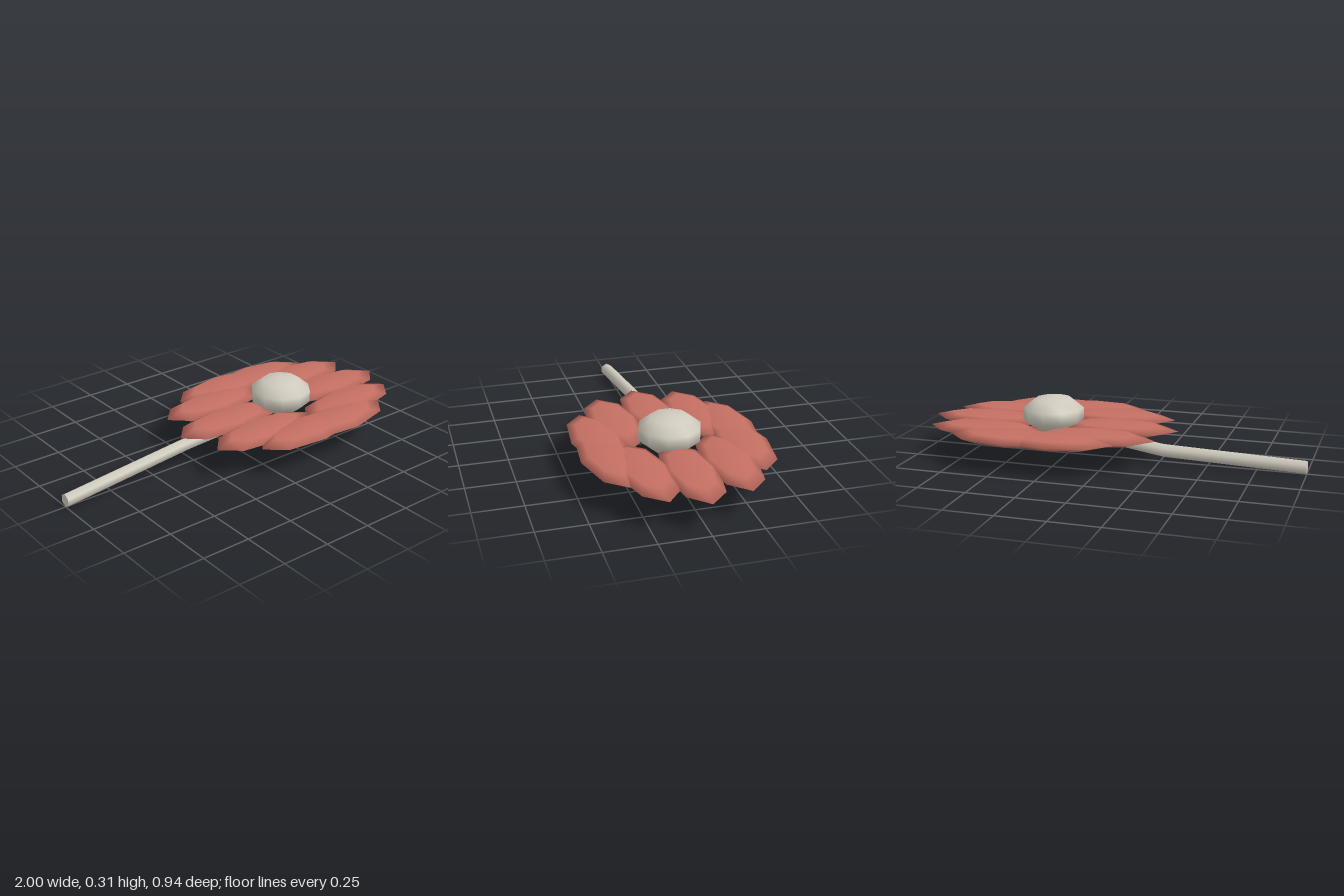
import * as THREE from 'three';

const CENTRE_X = 0.328;
const PETALS = 10;
const RING = 0.353;

export function createModel() {
  const flower = new THREE.Group();
  flower.name = 'flower';

  const petalRed = new THREE.MeshStandardMaterial({ color: 0xc46f62 });
  petalRed.name = 'petal red';
  const paleGrey = new THREE.MeshStandardMaterial({ color: 0xcfcabd });
  paleGrey.name = 'pale grey';

  // Flat petals in a ring, all lying lengthwise along x with a slowly growing twist
  const petals = new THREE.Group();
  petals.name = 'petals';
  const petalGeometry = new THREE.SphereGeometry(1, 8, 4);
  for (let i = 0; i < PETALS; i++) {
    const angle = (i / PETALS) * Math.PI * 2;
    const petal = new THREE.Mesh(petalGeometry, petalRed);
    petal.name = 'petal' + (i + 1);
    petal.scale.set(0.316, 0.033, 0.133);
    petal.position.set(CENTRE_X + RING * Math.cos(angle), 0.16, -RING * Math.sin(angle));
    petal.rotation.y = i * 0.011;
    petals.add(petal);
  }
  flower.add(petals);

  // Domed flower centre
  const core = new THREE.Mesh(new THREE.SphereGeometry(1, 10, 5), paleGrey);
  core.name = 'flowerCentre';
  core.scale.set(0.166, 0.0985, 0.166);
  core.position.set(CENTRE_X, 0.2125, 0);
  core.rotation.y = Math.PI / 2;
  flower.add(core);

  // Six-sided stem with one bend: each ring of the cylinder moves to its path point
  const path = [
    new THREE.Vector3(-1, 0.035, 0),
    new THREE.Vector3(-0.28, 0.075, -0.05),
    new THREE.Vector3(0.255, 0.143, 0),
  ];
  const stemGeometry = new THREE.CylinderGeometry(0.034, 0.034, 2, 6, 2, false, Math.PI / 2);
  stemGeometry.rotateZ(-Math.PI / 2);
  const pos = stemGeometry.attributes.position;
  for (let i = 0; i < pos.count; i++) {
    const p = path[Math.round(pos.getX(i)) + 1];
    pos.setXYZ(i, p.x, p.y + pos.getY(i), p.z + pos.getZ(i));
  }
  const stem = new THREE.Mesh(stemGeometry, paleGrey);
  stem.name = 'stem';
  flower.add(stem);

  return flower;
}
